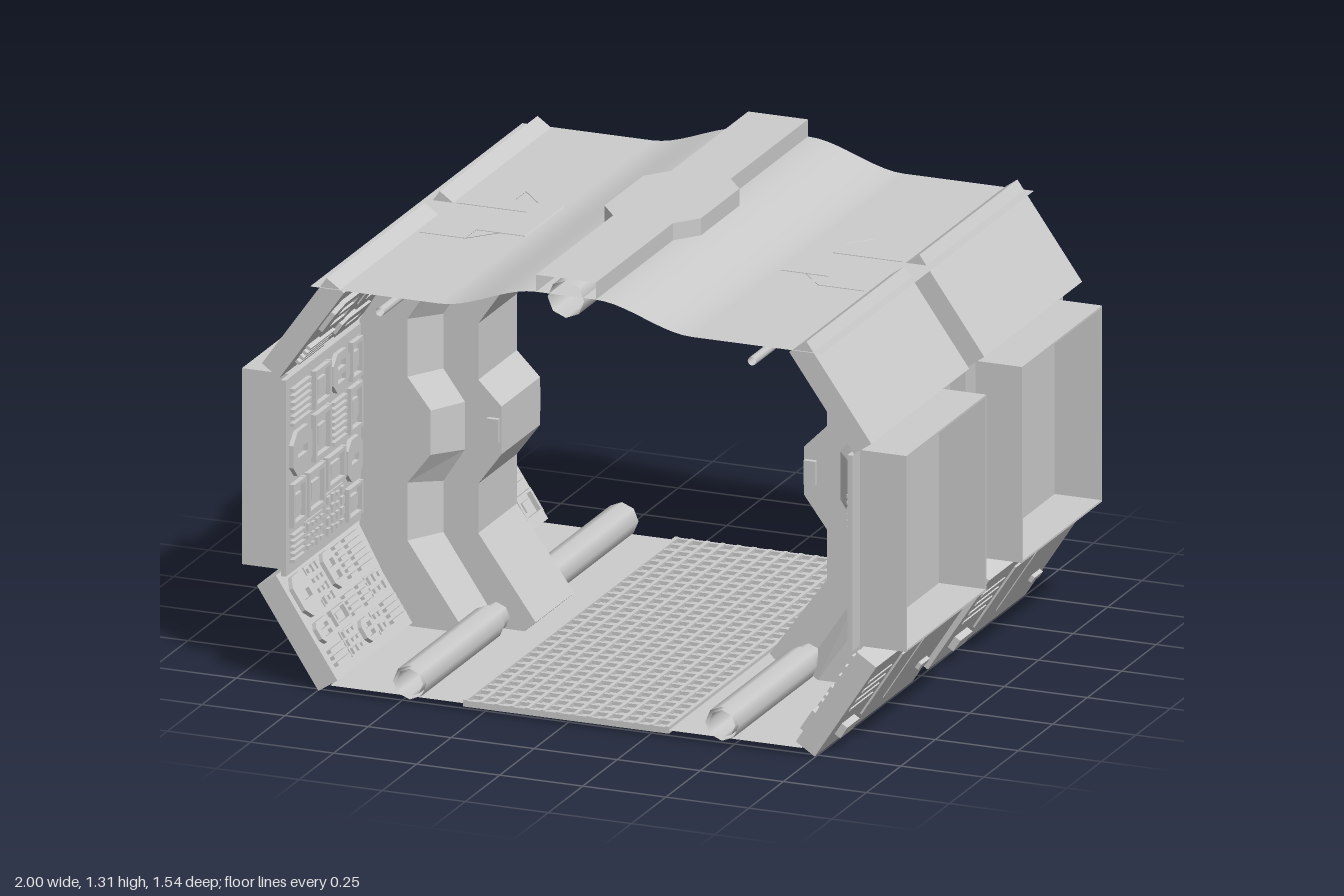
import * as THREE from 'three';
import { mergeGeometries } from 'three/addons/utils/BufferGeometryUtils.js';

const grey = new THREE.MeshStandardMaterial({ color: 0xcccccc, flatShading: true });
const thin = new THREE.MeshStandardMaterial({ color: 0xcccccc, side: THREE.DoubleSide });
const L = 0.77, GAP = 0.055;

let seed = 7;
const rnd = () => (seed = (seed * 16807) % 2147483647) / 2147483647;

function add(parent, name, geo, mat = grey) {
  const m = new THREE.Mesh(geo, mat);
  m.name = name;
  parent.add(m);
  return m;
}
const box = (x0, x1, y0, y1, z0, z1) => new THREE.BoxGeometry(x1 - x0, y1 - y0, z1 - z0)
  .translate((x0 + x1) / 2, (y0 + y1) / 2, (z0 + z1) / 2).toNonIndexed();
const outline = pts => new THREE.Shape(pts.map(p => new THREE.Vector2(...p)));
const extrude = (pts, z0, z1) => new THREE.ExtrudeGeometry(outline(pts), { depth: z1 - z0, bevelEnabled: false })
  .translate(0, 0, z0);

// open sheet between two matching rows of 3D points
function sheet(rowA, rowB, smooth = false) {
  const n = rowA.length;
  let g = new THREE.PlaneGeometry(1, 1, n - 1, 1);
  [...rowA, ...rowB].forEach((p, i) => g.attributes.position.setXYZ(i, ...p));
  if (!smooth) g = g.toNonIndexed();
  g.computeVertexNormals();
  return g;
}
const tube = (r, z0, z1, sides) => new THREE.CylinderGeometry(r, r, z1 - z0, sides, 1, true)
  .rotateX(Math.PI / 2).translate(0, 0, (z0 + z1) / 2);

// eight-cornered cover plate with optional slots, lying on w = 0
function coverPlate(u, v, w, h, d, slots) {
  const c = Math.min(w, h) * 0.25, a = w / 2, b = h / 2;
  const s = outline([[-a + c, -b], [a - c, -b], [a, -b + c], [a, b - c], [a - c, b], [-a + c, b], [-a, b - c], [-a, -b + c]]);
  for (let i = 0; i < slots; i++) {
    const y = h * ((i + 0.5) / slots - 0.5) * 0.7, q = w * 0.25, t = h * 0.1;
    s.holes.push(new THREE.Path([[-q, y - t], [-q, y + t], [q, y + t], [q, y - t]].map(p => new THREE.Vector2(...p))));
  }
  return new THREE.ExtrudeGeometry(s, { depth: d, bevelEnabled: false }).translate(u, v, 0);
}

// one equipment cell: slats, buttons, framed screen or cover plate
function cell(out, u, v, w, h, kind) {
  const bx = (cu, cv, bw, bh, d) => out.push(box(cu - bw / 2, cu + bw / 2, cv - bh / 2, cv + bh / 2, 0, d));
  if (kind === 0) {
    const n = Math.max(3, Math.round(h / 0.02));
    for (let i = 0; i < n; i++) bx(u, v + h * ((i + 0.5) / n - 0.5), w * 0.9, h / n * 0.5, 0.014);
  } else if (kind === 1) {
    bx(u, v, w, h, 0.004);
    const nu = Math.max(2, Math.round(w / 0.03)), nv = Math.max(2, Math.round(h / 0.03));
    for (let i = 0; i < nu; i++) for (let j = 0; j < nv; j++)
      bx(u + w * ((i + 0.5) / nu - 0.5), v + h * ((j + 0.5) / nv - 0.5), w / nu * 0.6, h / nv * (rnd() < 0.5 ? 0.4 : 0.7), 0.012);
  } else if (kind === 2) {
    for (const s of [-1, 1]) {
      bx(u + s * w * 0.44, v, w * 0.1, h, 0.015);
      bx(u, v + s * h * 0.44, w * 0.8, h * 0.1, 0.015);
    }
    bx(u, v, w * 0.45, h * 0.4, 0.01);
  } else out.push(coverPlate(u, v, w, h, 0.013, 1 + Math.floor(rnd() * 2)));
}

// split a rectangle into cells
function fill(out, u0, u1, v0, v1, size) {
  const w = u1 - u0, h = v1 - v0;
  if (Math.max(w, h) > size) {
    const k = 0.4 + rnd() * 0.2;
    if (w > h) { fill(out, u0, u0 + w * k, v0, v1, size); fill(out, u0 + w * k, u1, v0, v1, size); }
    else { fill(out, u0, u1, v0, v0 + h * k, size); fill(out, u0, u1, v0 + h * k, v1, size); }
  } else cell(out, (u0 + u1) / 2, (v0 + v1) / 2, w - 0.016, h - 0.016, Math.floor(rnd() * 4));
}

// wall panel from a (bottom) to b (top) on the inner face; local x along the hall, y up, z inward
function panel(parent, name, a, b, t, s, kind) {
  const g = new THREE.Group();
  g.name = name;
  const len = Math.hypot(b[0] - a[0], b[1] - a[1]);
  const V = new THREE.Vector3((b[0] - a[0]) / len, (b[1] - a[1]) / len, 0), U = new THREE.Vector3(0, 0, 1);
  g.quaternion.setFromRotationMatrix(new THREE.Matrix4().makeBasis(U, V, U.clone().cross(V)));
  g.position.set(a[0], a[1], s * 0.41);
  parent.add(g);
  add(g, name + 'Slab', box(-0.355, 0.355, 0, len, -t, 0));
  const parts = [], u0 = s > 0 ? -0.18 : -0.34, u1 = s > 0 ? 0.34 : 0.18;
  if (kind === 'upper') {
    for (let i = 0; i < 2; i++) {
      const u = u0 + (u1 - u0) * (i + 0.5) / 2;
      parts.push(coverPlate(u, len * 0.64, 0.23, len * 0.4, 0.014, 2));
      cell(parts, u, len * 0.22, 0.2, len * 0.22, i ? 3 : 0);
    }
  } else fill(parts, u0, u1, 0.02, len - 0.02, kind === 'middle' ? 0.17 : 0.15);
  add(g, name + 'Equipment', mergeGeometries(parts.map(p => p.index ? p.toNonIndexed() : p)));
  if (kind === 'lower') { // hatches and clips on the outside
    const o = [box(-0.18, -0.04, 0.07, 0.3, -t - 0.006, -t), box(-0.02, 0.12, 0.07, 0.3, -t - 0.006, -t),
      box(0.2, 0.29, 0.06, 0.1, -t - 0.02, -t), box(-0.3, -0.24, 0.1, 0.12, -t - 0.012, -t)];
    for (let i = 0; i < 4; i++) o.push(box(0.16, 0.32, 0.16 + i * 0.035, 0.17 + i * 0.035, -t - 0.004, -t));
    add(g, 'outerHatches', mergeGeometries(o));
  }
  return g;
}

// rib contours, top to bottom: inner edge, bevel start, bevel end, wall side
const I = [[0.385, 1.21], [0.355, 1.18], [0.525, 0.935], [0.525, 0.77], [0.455, 0.7], [0.455, 0.56], [0.525, 0.465], [0.525, 0.32], [0.352, 0.08], [0.385, 0.05]];
const B = [[0.46, 1.21], [0.63, 0.95], [0.63, 0.79], [0.565, 0.7], [0.565, 0.56], [0.63, 0.46], [0.63, 0.31], [0.455, 0.05]];
const A = [[0.53, 1.21], [0.705, 0.95], [0.705, 0.78], [0.635, 0.69], [0.635, 0.56], [0.705, 0.47], [0.705, 0.3], [0.53, 0.05]];
const O = [[0.7, 0.05], [0.85, 0.33], [0.85, 0.93], [0.67, 1.21]];

function buildSide() {
  const side = new THREE.Group();
  for (const s of [1, -1]) {
    const zr = (p, q) => s > 0 ? [p, q] : [-q, -p];
    panel(side, 'upperPanel', [0.865, 0.925], [0.67, 1.2], 0.064, s, 'upper');
    panel(side, 'wallPanel', [0.845, 0.345], [0.845, 0.92], 0.015, s, 'middle');
    panel(side, 'lowerPanel', [0.69, 0.06], [0.875, 0.345], 0.068, s, 'lower');
    // open tray on the outside of the wall
    const [z0, z1] = zr(0.13, 0.71), e = 0.006;
    add(side, 'outerTray', mergeGeometries([
      box(0.85, 1, 0.345, 0.345 + e, z0, z1), box(0.85, 1, 0.92 - e, 0.92, z0, z1),
      box(0.85, 1, 0.345, 0.92, z0, z0 + e), box(0.85, 1, 0.345, 0.92, z1 - e, z1)]));
    // stepped rib half
    add(side, 'ribCollar', extrude([...A, ...O], ...zr(0.14, 0.22)));
    add(side, 'ribBody', extrude([...I, ...O], ...zr(GAP, 0.14)));
    add(side, 'ribBevel', sheet(A.map(p => [...p, s * 0.22]), B.map(p => [...p, s * 0.14])), thin);
    add(side, 'ribHandle', box(0.46, 0.495, 0.595, 0.665, ...zr(0.14, 0.155)));
    // pipe sleeve along the floor
    add(side, 'pipeSleeve', tube(0.05, ...zr(0.2, L), 8), thin).position.set(0.47, 0.085, 0);
  }
  // rib core closing the channel, with fittings in it
  add(side, 'ribCore', extrude([...I, ...B.slice().reverse()], -GAP, GAP));
  add(side, 'channelFittings', mergeGeometries([[0.82, 0.92, 0.63], [0.57, 0.69, 0.565], [0.33, 0.45, 0.63]]
    .map(([y0, y1, x]) => box(x, x + 0.02, y0, y1, -0.03, 0.03))));
  add(side, 'floorPipe', tube(0.04, -L, L, 8), thin).position.set(0.47, 0.085, 0);
  add(side, 'ceilingRod', tube(0.013, -L, L, 8), thin).position.set(0.56, 1.16, 0);
  add(side, 'sideFloor', sheet([[0.3, 0.045, -L], [0.71, 0.045, -L]], [[0.3, 0.045, L], [0.71, 0.045, L]]), thin);
  // beam flank, bulging over the rib
  const edge = [[0.09, -L], [0.09, -0.21], [0.145, -0.14], [0.145, 0.14], [0.09, 0.21], [0.09, L]];
  add(side, 'beamFlank', sheet(edge.map(([x, z]) => [x, 1.33, z]), edge.map(([x, z]) => [x, 1.28, z])), thin);
  add(side, 'beamTop', sheet(edge.map(([, z]) => [0, 1.33, z]), edge.map(([x, z]) => [x, 1.33, z])), thin);
  return side;
}

export function createModel() {
  const model = new THREE.Group();
  model.name = 'corridorSection';
  for (const [name, turn] of [['leftSide', 0], ['rightSide', Math.PI]]) {
    const side = buildSide();
    side.name = name;
    side.rotation.y = turn;
    model.add(side);
  }
  // roof: flat edges rising in a smooth curve to the beam
  const roof = [];
  for (let i = -12; i <= 12; i++) {
    const k = Math.abs(i), x = k === 12 ? 0.77 : k === 0 ? 0 : 0.09 + (k - 1) * 0.029;
    roof.push([Math.sign(i) * x, 1.208 + 0.072 * (1 - THREE.MathUtils.smoothstep(x, 0.09, 0.38))]);
  }
  add(model, 'roof', sheet(roof.map(p => [...p, -L]), roof.map(p => [...p, L]), true), thin);
  add(model, 'beamPipe', tube(0.055, -L, L, 8), thin).position.y = 1.27;
  // walkway with a grating on top
  add(model, 'walkway', box(-0.31, 0.31, 0.035, 0.042, -L, L));
  const bars = [];
  for (let i = 0; i <= 13; i++) {
    const x = -0.304 + i * 0.608 / 13;
    bars.push(box(x - 0.006, x + 0.006, 0.042, 0.055, -L, L));
  }
  for (let i = 0; i <= 30; i++) {
    const z = (L - 0.006) * (i / 15 - 1);
    bars.push(box(-0.31, 0.31, 0.042, 0.053, z - 0.006, z + 0.006));
  }
  add(model, 'grating', mergeGeometries(bars));
  return model;
}
